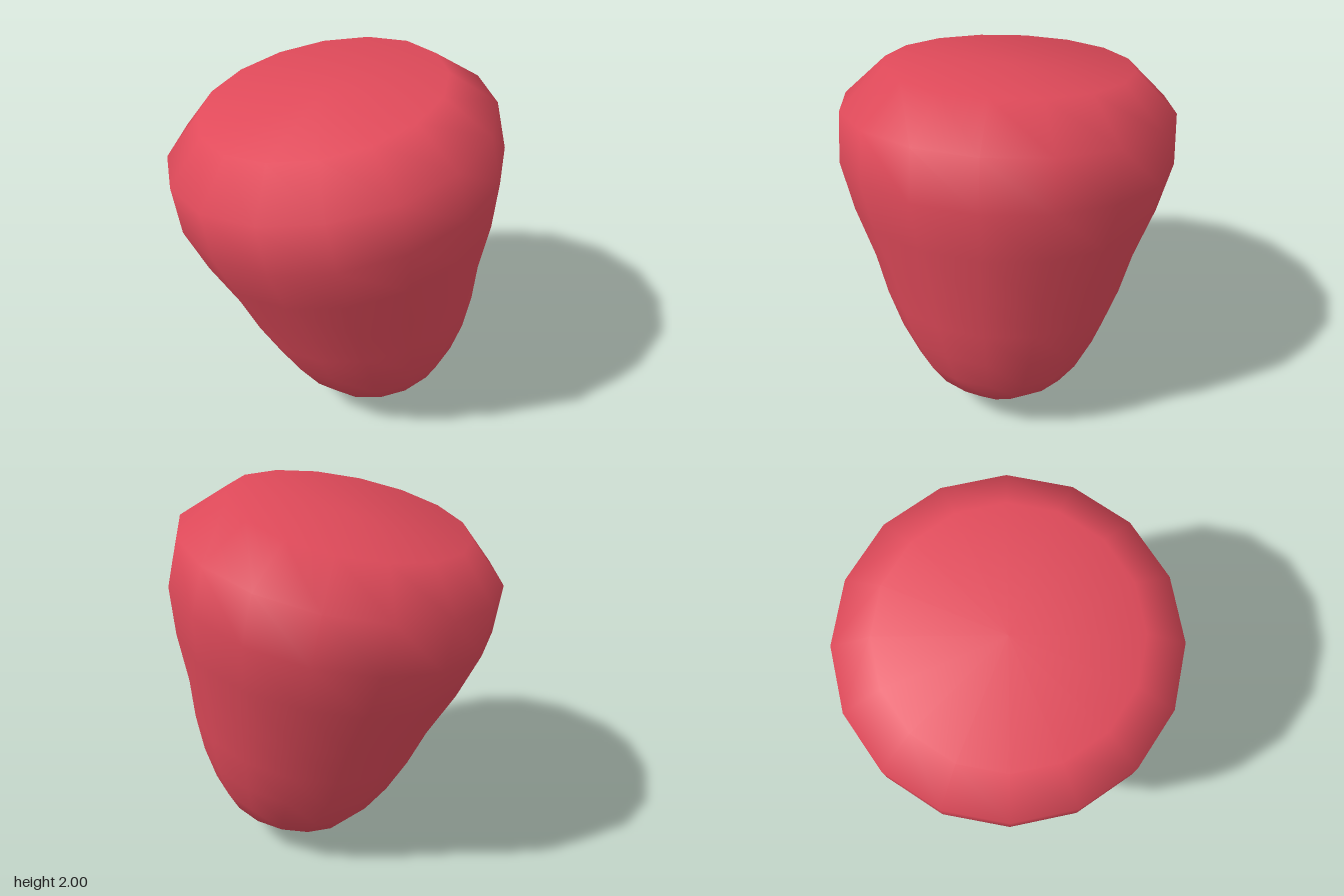
import * as THREE from 'three';
import { mergeVertices } from 'three/addons/utils/BufferGeometryUtils.js';

export function createModel() {
  const group = new THREE.Group();

  // Profile [radius, distance along axis], from the rounded tip to the flat cap
  const profile = [
    [0, 0], [0.205, 0.066], [0.37, 0.188], [0.461, 0.31], [0.553, 0.493],
    [0.63, 0.702], [0.69, 0.92], [0.79, 1.19], [0.86, 1.45], [0.85, 1.714],
    [0.635, 1.918], [0, 1.918],
  ].map(([r, h]) => new THREE.Vector2(r, h));

  // Weld the seam and poles so that shading runs smoothly over the whole body
  let geometry = new THREE.LatheGeometry(profile, 16, THREE.MathUtils.degToRad(6.6));
  geometry.deleteAttribute('uv');
  geometry.deleteAttribute('normal');
  geometry = mergeVertices(geometry, 1e-4);
  geometry.computeVertexNormals();

  // Leaning, tapered body standing on its tip
  const body = new THREE.Mesh(geometry, new THREE.MeshStandardMaterial({ color: 0xe04a5a }));
  body.name = 'taperedBody';
  const axis = new THREE.Vector3(-0.185, 1, -0.05).normalize();
  body.quaternion.setFromUnitVectors(new THREE.Vector3(0, 1, 0), axis);
  body.position.set(0.27, 0, 0.04);
  group.add(body);

  return group;
}
